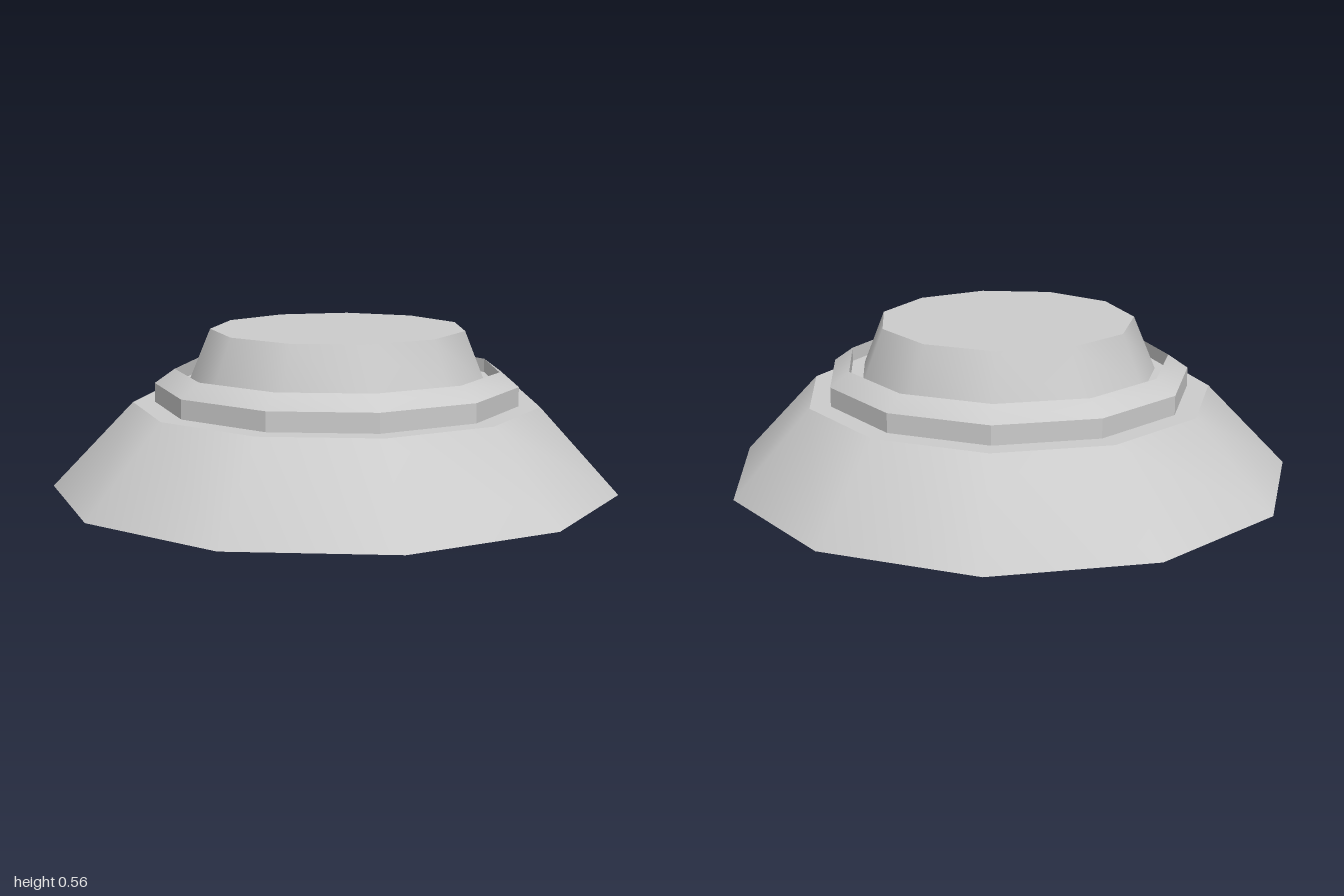
import * as THREE from 'three';
import { toCreasedNormals } from 'three/addons/utils/BufferGeometryUtils.js';

const SIDES = 11;

// Eleven-sided turned part; each ring is shifted so its bounding box is centred on x = 0
function turned(name, profile, material) {
  const points = profile.map(([r, y]) => new THREE.Vector2(r, y));
  const geometry = new THREE.LatheGeometry(points, SIDES, Math.PI / 2);
  const shift = (1 - Math.cos(Math.PI / SIDES)) / 2;
  const pos = geometry.attributes.position;
  for (let i = 0; i < pos.count; i++) {
    const r = Math.hypot(pos.getX(i), pos.getZ(i));
    pos.setX(i, pos.getX(i) - r * shift);
  }
  // Sloped walls stay smooth, upright walls stay faceted
  const mesh = new THREE.Mesh(toCreasedNormals(geometry, 0.55), material);
  mesh.name = name;
  return mesh;
}

export function createModel() {
  const group = new THREE.Group();
  group.name = 'steppedPedestal';
  const grey = new THREE.MeshStandardMaterial({ color: 0xcccccc });

  // Wide sloping foot, closed below
  group.add(turned('base', [[0, 0], [1.01, 0], [0.727, 0.3], [0, 0.3]], grey));

  // Collar with a bevelled rim around a shallow recess
  group.add(turned('collar', [
    [0.65, 0.3], [0.65, 0.368], [0.58, 0.418], [0.58, 0.368], [0, 0.368],
  ], grey));

  // Tapered cap standing in the recess
  group.add(turned('cap', [[0.533, 0.368], [0.455, 0.56], [0, 0.56]], grey));

  return group;
}
